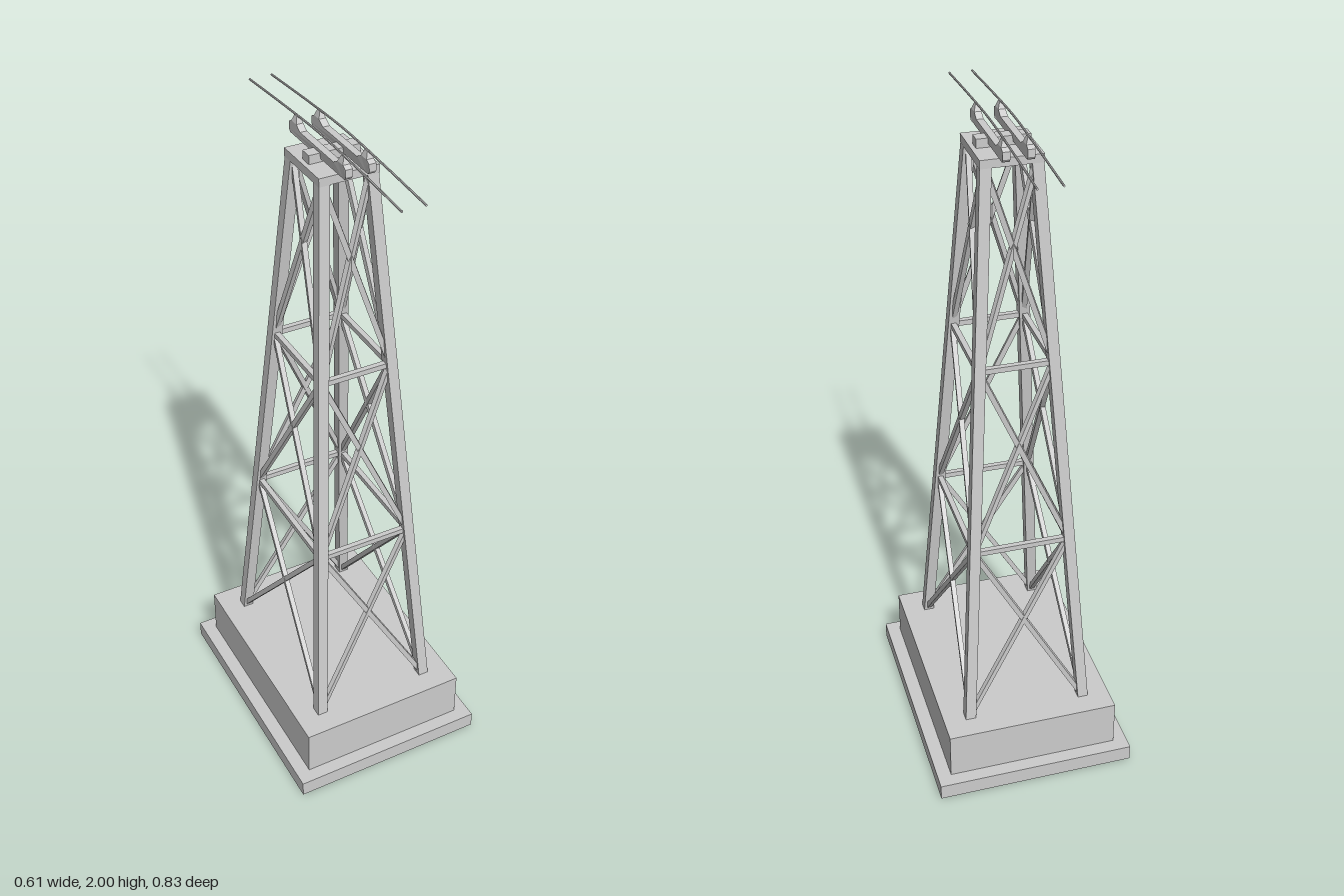
import * as THREE from 'three';

const material = new THREE.MeshStandardMaterial({ color: 0xcccccc, flatShading: true });

function add(parent, name, geometry, x = 0, y = 0, z = 0) {
  const mesh = new THREE.Mesh(geometry, material);
  mesh.name = name;
  mesh.position.set(x, y, z);
  parent.add(mesh);
  return mesh;
}

// Square bar from a to b, kept upright to the world axes
function beam(parent, name, a, b, size) {
  const mid = a.clone().add(b).multiplyScalar(0.5);
  const mesh = add(parent, name, new THREE.BoxGeometry(size, size, a.distanceTo(b)), mid.x, mid.y, mid.z);
  mesh.lookAt(b);
  return mesh;
}

// Leg sheared between its two ends, so that its section stays square to the axes
function leg(parent, a, b, size) {
  const g = new THREE.BoxGeometry(size, b.y - a.y, size);
  const p = g.attributes.position;
  for (let i = 0; i < p.count; i++) {
    const c = p.getY(i) < 0 ? a : b;
    p.setXYZ(i, p.getX(i) + c.x, c.y, p.getZ(i) + c.z);
  }
  g.computeVertexNormals();
  add(parent, 'leg', g);
}

const BOTTOM = 0.2, TOP = 1.905;

// Centre of a leg at height y; sx and sz choose the corner
function corner(sx, sz, y) {
  const t = (y - BOTTOM) / (TOP - BOTTOM);
  return new THREE.Vector3(
    sx * THREE.MathUtils.lerp(0.18, 0.07, t), y,
    sz * THREE.MathUtils.lerp(0.27, 0.08, t));
}

// Saddle that carries a cable: a low bar with a raised, pinched horn at each end
function saddleGeometry() {
  const half = [
    [0.135, 1.936], [0.15, 1.939], [0.157, 1.948], [0.156, 1.968],
    [0.142, 1.975], [0.135, 1.993], [0.121, 1.993], [0.113, 1.975], [0.092, 1.962],
  ];
  const outline = [...half, ...half.map(([z, y]) => [-z, y]).reverse()];
  const shape = new THREE.Shape(outline.map(([z, y]) => new THREE.Vector2(z, y)));
  const g = new THREE.ExtrudeGeometry(shape, { depth: 0.02, bevelEnabled: false });
  g.translate(0, 0, -0.01).rotateY(-Math.PI / 2);
  const p = g.attributes.position;
  for (let i = 0; i < p.count; i++) {
    const y = p.getY(i);
    p.setX(i, p.getX(i) * (y > 1.98 ? 0.4 : y < 1.938 ? 0.7 : 1));
  }
  g.computeVertexNormals();
  return g;
}

export function createModel() {
  const model = new THREE.Group();
  model.name = 'cablewayTower';

  // Stepped foundation
  add(model, 'footing', new THREE.BoxGeometry(0.61, 0.05, 0.786), 0, 0.025, 0);
  add(model, 'plinth', new THREE.BoxGeometry(0.526, 0.15, 0.704), 0, 0.125, 0);

  // Four leaning legs
  const tower = new THREE.Group();
  tower.name = 'latticeTower';
  model.add(tower);
  const corners = [[1, 1], [-1, 1], [-1, -1], [1, -1]];
  for (const [sx, sz] of corners) leg(tower, corner(sx, sz, BOTTOM), corner(sx, sz, TOP), 0.032);

  // Crossed braces in three bays on every side, with rails between the bays
  const levels = [BOTTOM, 0.77, 1.338, TOP];
  corners.forEach((a, i) => {
    const b = corners[(i + 1) % 4];
    for (let k = 0; k < 3; k++) {
      beam(tower, 'brace', corner(...a, levels[k]), corner(...b, levels[k + 1]), 0.015);
      beam(tower, 'brace', corner(...b, levels[k]), corner(...a, levels[k + 1]), 0.015);
      if (k > 0) beam(tower, 'rail', corner(...a, levels[k]), corner(...b, levels[k]), 0.016);
    }
  });

  // Head plate and the crossbeam under the saddles
  add(model, 'headPlate', new THREE.BoxGeometry(0.174, 0.024, 0.195), 0, 1.916, 0);
  add(model, 'crossbeam', new THREE.BoxGeometry(0.148, 0.026, 0.036), 0, 1.94, 0);

  // Two saddles, each with a sagging cable
  for (const side of [-1, 1]) {
    const x = side * 0.033;
    add(model, 'saddle', saddleGeometry(), x);
    const path = new THREE.CatmullRomCurve3(
      [[-0.415, 1.978], [-0.2, 1.99], [0, 1.997], [0.2, 1.99], [0.415, 1.978]]
        .map(([z, y]) => new THREE.Vector3(x, y, z)));
    add(model, 'cable', new THREE.TubeGeometry(path, 16, 0.003, 8));
    for (const end of [-1, 1]) {
      const cap = add(model, 'cableEnd', new THREE.CircleGeometry(0.003, 8), x, 1.978, end * 0.415);
      if (end < 0) cap.rotation.y = Math.PI;
    }
  }
  return model;
}
